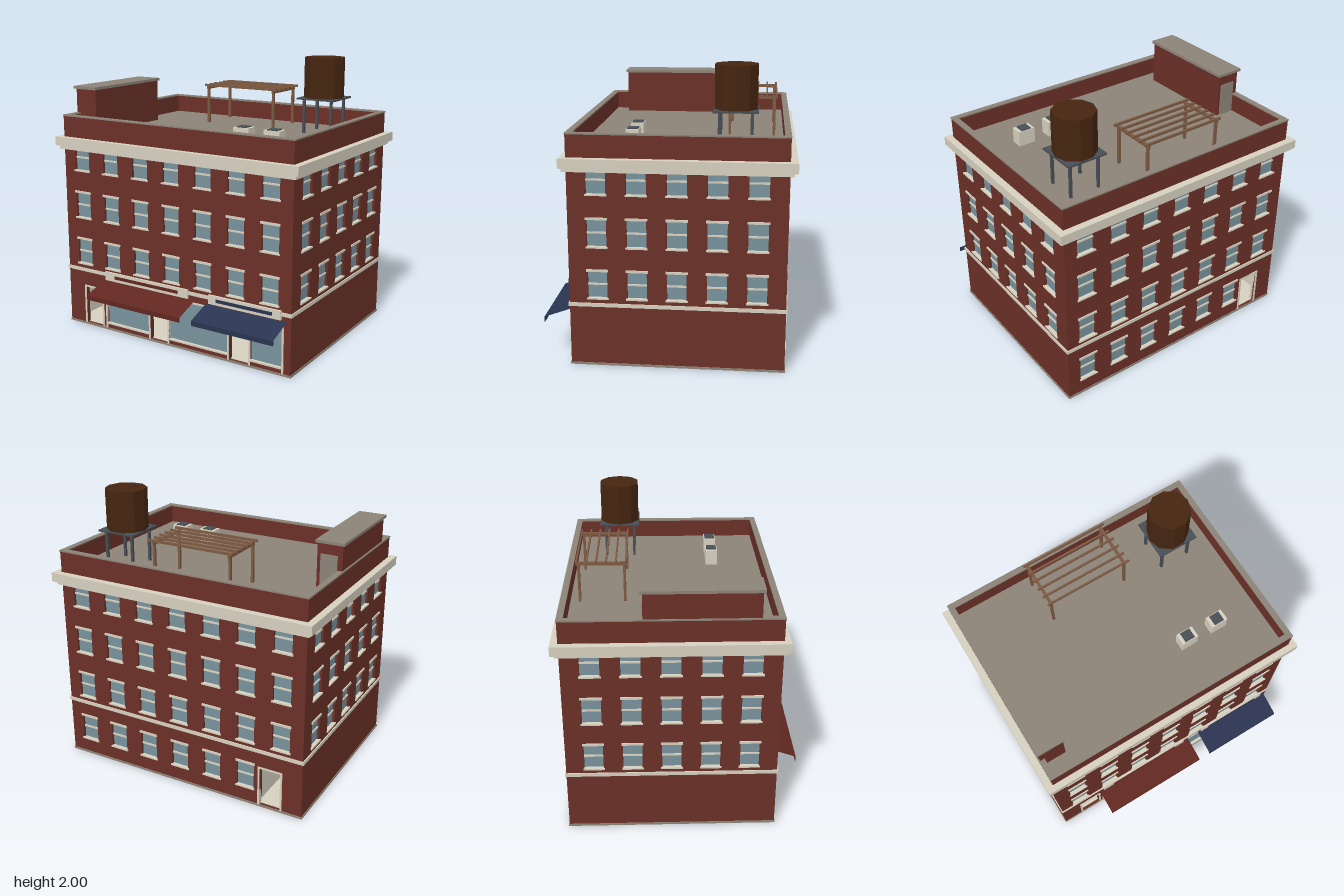
import * as THREE from 'three';

const mat = (name, color) => {
  const m = new THREE.MeshStandardMaterial({ color });
  m.name = name;
  return m;
};

export function createModel() {
  const brick = mat('brick', 0x6a3027), trim = mat('stone trim', 0xd6cfbf);
  const glass = mat('window glass', 0x78929c), roof = mat('roof felt', 0x8c8377);
  const slate = mat('dark metal', 0x474e54), barrel = mat('tank wood', 0x462510);
  const wood = mat('pergola wood', 0x7d5a42);
  const red = mat('red awning', 0x602720), navy = mat('navy awning', 0x2a3350);
  red.side = navy.side = THREE.DoubleSide;

  const model = new THREE.Group();
  const group = (name, parent = model) => {
    const g = new THREE.Group();
    g.name = name;
    parent.add(g);
    return g;
  };
  // Box given by its lower and upper limits on each axis
  const box = (name, m, x0, x1, y0, y1, z0, z1, parent = model) => {
    const mesh = new THREE.Mesh(new THREE.BoxGeometry(x1 - x0, y1 - y0, z1 - z0), m);
    mesh.position.set((x0 + x1) / 2, (y0 + y1) / 2, (z0 + z1) / 2);
    mesh.name = name;
    parent.add(mesh);
    return mesh;
  };

  const X = 0.95, ZF = 0.645, ZB = -0.785, ZM = (ZF + ZB) / 2, T = 0.035;
  const PITCH = 0.2625, FLOOR = 0.355, BASE = 0.015;

  // Wall in local space: outer face at z = 0, outward is +z
  function wall(name, width, columns, openings, lowColumns = []) {
    const g = group(name);
    const shape = new THREE.Shape([[-1, BASE], [1, BASE], [1, 1.58], [-1, 1.58]]
      .map(([x, y]) => new THREE.Vector2(x * width / 2, y)));
    const cut = (x0, x1, y0, y1) => shape.holes.push(new THREE.Path(
      [[x0, y0], [x0, y1], [x1, y1], [x1, y0]].map(([x, y]) => new THREE.Vector2(x, y))));
    openings.forEach(o => cut(...o));
    for (let f = 0; f < 4; f++) {
      for (let c = 0; c < columns; c++) {
        if (f === 0 && !lowColumns.includes(c)) continue;
        const x = (c - (columns - 1) / 2) * PITCH, y = 0.125 + f * FLOOR;
        cut(x - 0.065, x + 0.065, y, y + 0.19);
        const w = group('window', g);
        box('pane', glass, x - 0.065, x + 0.065, y, y + 0.19, -0.026, -0.018, w);
        box('middleRail', trim, x - 0.065, x + 0.065, y + 0.089, y + 0.101, -0.018, -0.01, w);
        box('lintel', trim, x - 0.073, x + 0.073, y + 0.185, y + 0.201, -0.01, 0.008, w);
        box('sill', trim, x - 0.073, x + 0.073, y - 0.008, y + 0.003, -0.018, 0.01, w);
      }
    }
    const mesh = new THREE.Mesh(
      new THREE.ExtrudeGeometry(shape, { depth: T, bevelEnabled: false }), brick);
    mesh.position.z = -T;
    mesh.name = 'brickwork';
    g.add(mesh);
    return g;
  }

  // Trim around a hall doorway, in wall space
  function doorFrame(x0, x1, top, parent) {
    for (const x of [x0 - 0.014, x1]) {
      box('doorJamb', trim, x, x + 0.014, BASE, top + 0.012, -T, 0.006, parent);
    }
    box('doorHead', trim, x0, x1, top, top + 0.012, -T, 0.006, parent);
  }

  // Front wall with entrance, shop windows and shop doorways
  const shopWindows = [[-0.59, -0.205], [-0.025, 0.462], [0.645, 0.885]];
  const shopDoors = [[-0.19, -0.04], [0.477, 0.63]];
  const front = wall('frontWall', 2 * X, 7, [
    [-0.79, -0.635, 0.016, 0.3],
    ...shopWindows.map(([a, b]) => [a, b, 0.05, 0.36]),
    ...shopDoors.map(([a, b]) => [a, b, 0.016, 0.36]),
  ]);
  front.position.z = ZF;
  doorFrame(-0.79, -0.635, 0.3, front);
  for (const [a, b] of shopWindows) {
    box('shopPane', glass, a, b, 0.05, 0.36, -0.024, -0.015, front);
    box('shopSill', trim, a, b, 0.045, 0.057, -0.015, 0.006, front);
    for (const x of [a - 0.013, b]) {
      box('shopJamb', trim, x, x + 0.013, BASE, 0.36, -0.02, 0.006, front);
    }
  }
  box('shopHeader', trim, -0.603, 0.898, 0.358, 0.37, -0.02, 0.006, front);

  // Back wall with ground-floor windows and the rear hall door
  const back = wall('backWall', 2 * X, 7, [[0.635, 0.79, 0.016, 0.3]], [0, 1, 2, 3, 4, 5]);
  back.rotation.y = Math.PI;
  back.position.z = ZB;
  doorFrame(0.635, 0.79, 0.3, back);

  // Side walls
  for (const s of [-1, 1]) {
    const side = wall(s > 0 ? 'leftWall' : 'rightWall', ZF - ZB - 2 * T, 5, []);
    side.rotation.y = s * Math.PI / 2;
    side.position.set(s * X, 0, ZM);
  }

  // Base, floor, through hall, belt course and cornice
  box('base', roof, -0.955, 0.955, 0, BASE, -0.79, 0.65);
  box('groundFloor', trim, -0.915, 0.915, BASE, 0.02, ZB + 0.02, ZF - 0.02);
  box('hallPartition', trim, -0.618, -0.606, 0.02, 0.42, ZB + T, ZF - T);
  box('hallLining', trim, -0.915, -0.908, 0.02, 0.42, ZB + T, ZF - T);
  box('beltCourse', trim, -0.958, 0.958, 0.42, 0.445, -0.793, 0.653);
  box('corniceLower', trim, -0.975, 0.975, 1.34, 1.365, -0.81, 0.67);
  box('corniceUpper', trim, -1, 1, 1.365, 1.43, -0.835, 0.688);

  // Roof deck and parapet caps
  box('roofDeck', roof, -0.916, 0.916, 1.425, 1.45, ZB + T, ZF - T);
  for (const s of [-1, 1]) {
    const x = s * 0.934, z = ZM + s * 0.697;
    box('sideCap', roof, x - 0.021, x + 0.021, 1.58, 1.59, -0.748, 0.608);
    box('endCap', roof, -0.955, 0.955, 1.58, 1.59, z - 0.021, z + 0.021);
  }

  // Signs and awnings over the two shops
  const shops = [
    ['redShop', red, -0.62, 0.195, -0.59, 0.145, -0.5, 0.06],
    ['navyShop', navy, 0.29, 0.92, 0.315, 0.88, 0.38, 0.815],
  ];
  for (const [name, m, a0, a1, s0, s1, p0, p1] of shops) {
    const g = group(name);
    box('signBoard', trim, s0, s1, 0.393, 0.457, ZF, 0.661, g);
    box('signPanel', m, p0, p1, 0.414, 0.437, 0.661, 0.665, g);
    const drop = 0.065, reach = 0.18;
    const slope = new THREE.Mesh(new THREE.PlaneGeometry(a1 - a0, Math.hypot(drop, reach)), m);
    slope.rotation.x = -Math.atan2(reach, drop);
    slope.position.set((a0 + a1) / 2, 0.385 - drop / 2, 0.648 + reach / 2);
    slope.name = 'awningSlope';
    g.add(slope);
    box('awningValance', m, a0, a1, 0.285, 0.32, 0.826, 0.83, g);
  }

  // Stair bulkhead with roof door
  const bulkhead = group('stairBulkhead');
  box('bulkheadBody', brick, -0.945, -0.765, 1.45, 1.765, -0.25, 0.5, bulkhead);
  box('bulkheadCap', roof, -0.96, -0.755, 1.765, 1.785, -0.267, 0.515, bulkhead);
  box('roofDoor', roof, -0.91, -0.79, 1.45, 1.69, -0.256, -0.25, bulkhead);

  // Water tank on a legged platform
  const tank = group('waterTank');
  const drum = new THREE.Mesh(new THREE.CylinderGeometry(0.147, 0.147, 0.29, 10), barrel);
  drum.material.flatShading = true;
  drum.rotation.y = Math.PI / 2;
  drum.position.set(0.617, 1.855, -0.43);
  drum.name = 'tankDrum';
  tank.add(drum);
  box('tankPlatform', slate, 0.47, 0.765, 1.698, 1.71, -0.578, -0.283, tank);
  for (const x of [0.512, 0.726]) {
    for (const z of [-0.535, -0.324]) {
      box('tankLeg', slate, x - 0.009, x + 0.009, 1.45, 1.698, z - 0.009, z + 0.009, tank);
    }
  }

  // Pergola
  const pergola = group('pergola');
  for (const x of [-0.352, 0.226]) {
    for (const z of [-0.682, -0.373]) {
      box('pergolaPost', wood, x - 0.009, x + 0.009, 1.45, 1.72, z - 0.009, z + 0.009, pergola);
    }
    box('pergolaBeam', wood, x - 0.009, x + 0.009, 1.715, 1.737, -0.7, -0.358, pergola);
  }
  for (let i = 0; i < 6; i++) {
    const z = -0.695 + i * 0.0665;
    box('pergolaRafter', wood, -0.38, 0.26, 1.735, 1.752, z - 0.006, z + 0.006, pergola);
  }

  // Rooftop air units with fan grilles
  for (const x of [0.35, 0.59]) {
    const unit = group('airUnit');
    box('airUnitCase', trim, x - 0.062, x + 0.062, 1.45, 1.56, 0.215, 0.3, unit);
    box('airUnitFan', slate, x - 0.037, x + 0.037, 1.56, 1.567, 0.221, 0.294, unit);
  }

  return model;
}
